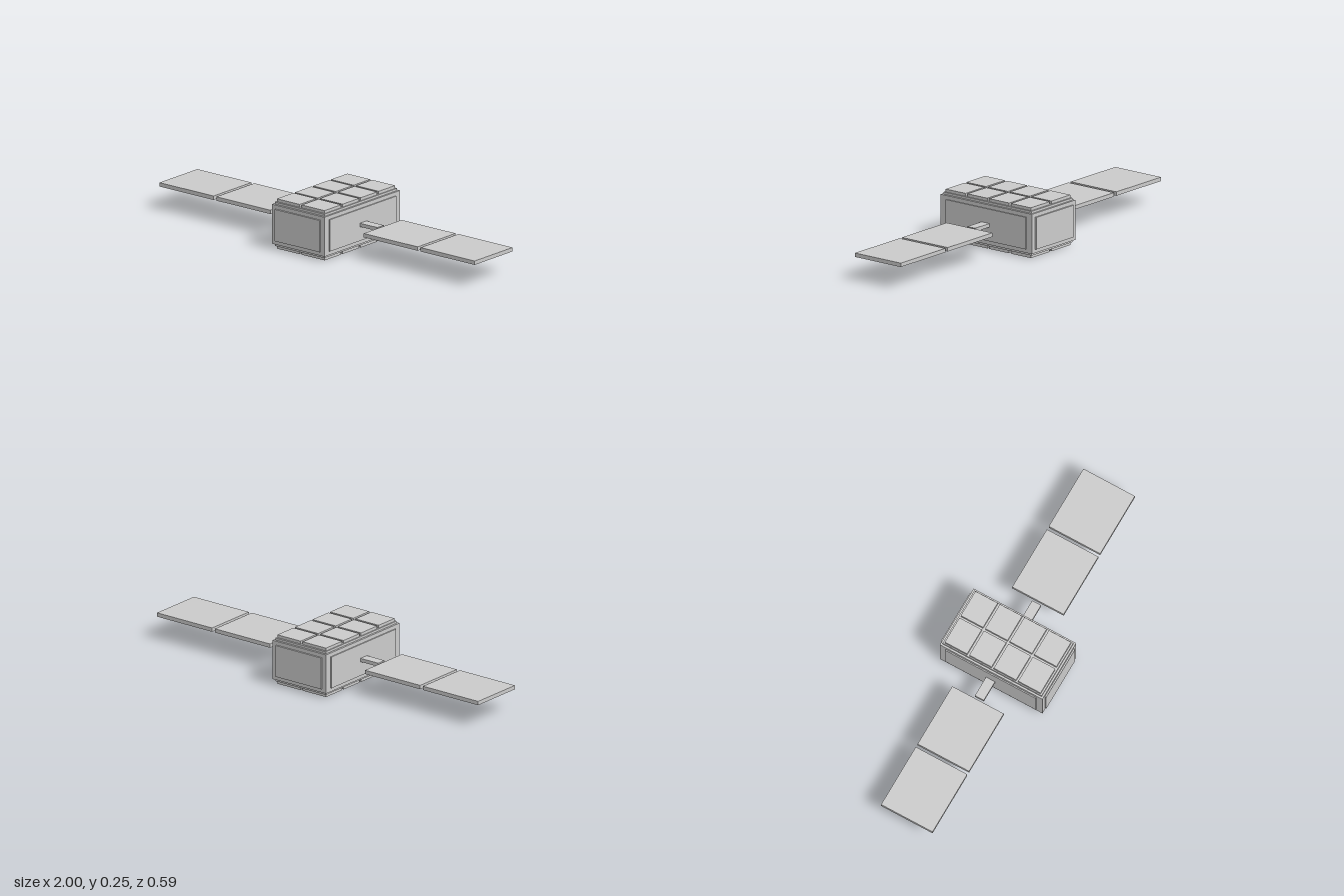
import * as THREE from 'three';

export function createModel() {
  const model = new THREE.Group();
  const material = new THREE.MeshStandardMaterial({ color: 0xcccccc, flatShading: true });
  const midY = 0.127;

  function box(name, size, position) {
    const mesh = new THREE.Mesh(new THREE.BoxGeometry(...size), material);
    mesh.name = name;
    mesh.position.set(...position);
    model.add(mesh);
  }

  // Main body
  box('body', [0.334, 0.201, 0.574], [0, midY, 0]);

  for (const s of [-1, 1]) {
    const side = s > 0 ? 'left' : 'right';
    const end = s > 0 ? 'front' : 'back';
    const level = s > 0 ? 'top' : 'bottom';

    // Raised panels on the sides and ends
    box(`${side}SidePanel`, [0.012, 0.162, 0.506], [s * 0.167, midY, 0]);
    box(`${end}Panel`, [0.286, 0.162, 0.02], [0, midY, s * 0.285]);

    // Stepped plate carrying a 2 x 4 set of tiles
    box(`${level}Plate`, [0.314, 0.02, 0.554], [0, midY + s * 0.102, 0]);
    for (const x of [-0.079, 0.079]) {
      for (let row = 0; row < 4; row++) {
        box(`${level}Tile`, [0.145, 0.02, 0.125], [x, midY + s * 0.117, (row - 1.5) * 0.137]);
      }
    }

    // Solar wing: a short arm and two separate panels
    box(`${side}Arm`, [0.13, 0.018, 0.05], [s * 0.218, midY, 0]);
    box(`${side}InnerSolarPanel`, [0.343, 0.02, 0.288], [s * 0.4675, midY, 0]);
    box(`${side}OuterSolarPanel`, [0.343, 0.02, 0.288], [s * 0.8285, midY, 0]);
  }
  return model;
}
